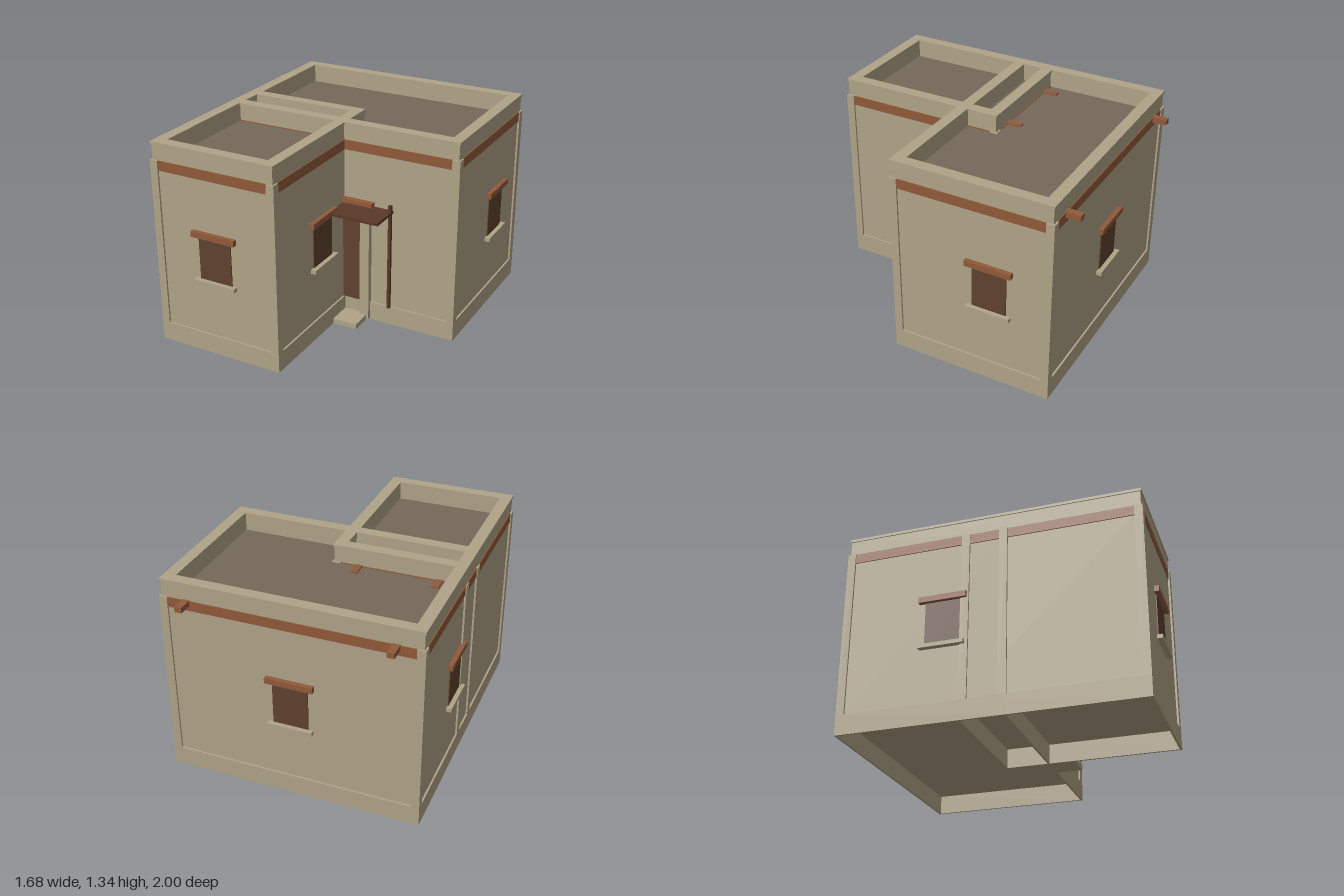
import * as THREE from 'three';

const mat = (name, color) => {
  const m = new THREE.MeshStandardMaterial({ color });
  m.name = name;
  return m;
};

export function createModel() {
  const adobe = mat('adobe', 0xb0a488);
  const clay = mat('clayWood', 0x905a3b);
  const dark = mat('darkBrown', 0x60412e);
  const timber = mat('darkTimber', 0x5a3828);
  const roofMat = mat('roof', 0x76695a);
  const model = new THREE.Group();
  model.name = 'house';

  // box given by its minimum and maximum on each axis
  function box(parent, name, material, x0, x1, y0, y1, z0, z1) {
    const mesh = new THREE.Mesh(new THREE.BoxGeometry(x1 - x0, y1 - y0, z1 - z0), material);
    mesh.position.set((x0 + x1) / 2, (y0 + y1) / 2, (z0 + z1) / 2);
    mesh.name = name;
    parent.add(mesh);
    return mesh;
  }

  // rectangular ring lying flat, inset from the block outline on both sides
  function ring(parent, name, b, outer, inner, y0, y1) {
    const rect = (P, d) => {
      const p = new P();
      p.moveTo(b.x0 + d, -b.z1 + d);
      p.lineTo(b.x1 - d, -b.z1 + d);
      p.lineTo(b.x1 - d, -b.z0 - d);
      p.lineTo(b.x0 + d, -b.z0 - d);
      p.closePath();
      return p;
    };
    const shape = rect(THREE.Shape, outer);
    shape.holes.push(rect(THREE.Path, inner));
    const geo = new THREE.ExtrudeGeometry(shape, { depth: y1 - y0, bevelEnabled: false });
    geo.rotateX(-Math.PI / 2);
    const mesh = new THREE.Mesh(geo, adobe);
    mesh.position.y = y0;
    mesh.name = name;
    parent.add(mesh);
  }

  // one block: hollow plinth, recessed walls, corner posts, bands, parapet, roof
  function block(name, b) {
    const g = new THREE.Group();
    g.name = name;
    const { x0, x1, z0, z1 } = b;
    const r = 0.012, p = 0.052, top = 1.22;
    ring(g, 'plinth', b, 0, r + 0.001, 0, 0.127);
    box(g, 'walls', adobe, x0 + r, x1 - r, 0.125, 1.21, z0 + r, z1 - r);
    for (const x of [x0, x1 - p]) {
      for (const z of [z0, z1 - p]) box(g, 'cornerPost', adobe, x, x + p, 0.125, top, z, z + p);
    }
    const e = 0.006;
    box(g, 'bandAcross', clay, x0 + p, x1 - p, 1.157, 1.2, z0 + e, z1 - e);
    box(g, 'bandAlong', clay, x0 + e, x1 - e, 1.157, 1.2, z0 + p, z1 - p);
    // upper edge of the bands, kept clear of the roof deck
    for (const z of [z0 + e, z1 - r - 0.01]) box(g, 'bandTop', clay, x0 + p, x1 - p, 1.2, top, z, z + r + 0.01 - e);
    for (const x of [x0 + e, x1 - r - 0.01]) box(g, 'bandTop', clay, x, x + r + 0.01 - e, 1.2, top, z0 + p, z1 - p);
    ring(g, 'parapet', b, r, 0.08, 1.2, 1.325);
    ring(g, 'parapetCap', b, 0.006, 0.08, 1.317, 1.335);
    box(g, 'roofDeck', roofMat, x0 + 0.07, x1 - 0.07, 1.2, 1.215, z0 + 0.07, z1 - 0.07);
    // drain beams through the back
    for (const x of b.beams) box(g, 'drainBeam', clay, x - 0.023, x + 0.023, 1.19, 1.225, z0 - 0.085, z0 + 0.02);
    model.add(g);
  }
  block('mainBlock', { x0: -0.815, x1: 0.815, z0: -0.915, z1: 0.145, beams: [-0.643, 0.643] });
  block('frontWing', { x0: -0.815, x1: 0.044, z0: -0.147, z1: 0.977, beams: [-0.643, -0.13] });

  // window built facing +z, then turned onto its wall
  function windowUnit(name, x, z, turn) {
    const g = new THREE.Group();
    g.name = name;
    box(g, 'windowPane', dark, -0.113, 0.113, 0.505, 0.785, -0.012, -0.006);
    box(g, 'windowLintel', clay, -0.152, 0.152, 0.785, 0.822, -0.02, 0.018);
    box(g, 'windowSill', adobe, -0.144, 0.144, 0.48, 0.505, -0.02, 0.023);
    g.position.set(x, 0, z);
    g.rotation.y = turn;
    model.add(g);
  }
  const q = Math.PI / 2;
  windowUnit('frontWindow', -0.386, 0.977, 0);
  windowUnit('backWindow', 0, -0.915, 2 * q);
  windowUnit('leftWindow', 0.815, -0.512, q);
  windowUnit('wingWindow', 0.044, 0.42, q);
  windowUnit('rightWindow', -0.815, -0.258, -q);

  // entrance beside the wing
  const door = new THREE.Group();
  door.name = 'entrance';
  box(door, 'door', dark, 0.03, 0.165, 0.127, 0.74, 0.13, 0.15);
  box(door, 'doorJamb', adobe, 0.163, 0.228, 0.01, 0.768, 0.13, 0.17);
  box(door, 'doorHead', adobe, 0.03, 0.163, 0.74, 0.768, 0.13, 0.17);
  box(door, 'doorLintel', clay, 0.03, 0.248, 0.768, 0.838, 0.13, 0.174);
  box(door, 'doorStep', adobe, 0.04, 0.21, 0, 0.035, 0.14, 0.308);
  box(door, 'canopy', timber, 0.04, 0.382, 0.793, 0.811, 0.14, 0.357);
  box(door, 'canopyPost', timber, 0.359, 0.378, 0.128, 0.85, 0.147, 0.168);
  model.add(door);

  return model;
}
